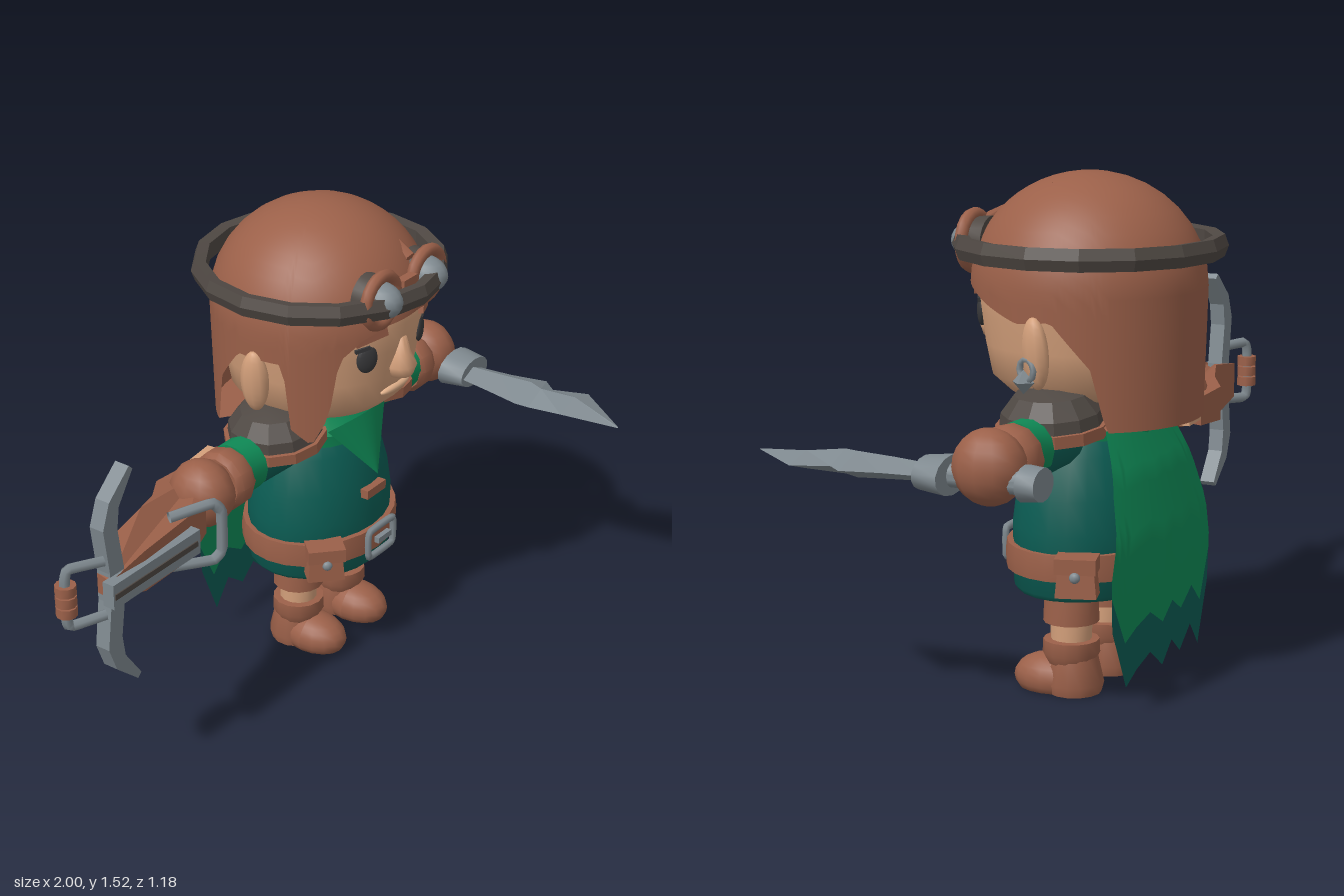
import * as THREE from 'three';
import { toCreasedNormals } from 'three/addons/utils/BufferGeometryUtils.js';
import { ParametricGeometry } from 'three/addons/geometries/ParametricGeometry.js';

const mat = (name, color) => new THREE.MeshStandardMaterial({ name, color, side: THREE.DoubleSide });
const leather = mat('brown leather', 0x9b6049), dark = mat('dark hide', 0x4f4843);
const green = mat('bright green', 0x0f8a56), teal = mat('dark teal', 0x0b5c53);
const skin = mat('skin', 0xd4a07b), lip = mat('lip', 0xe2b28c);
const steel = mat('steel', 0x7f898f), ink = mat('eye dark', 0x38383a);

// Small helpers
function add(parent, name, geo, material, pos = [0, 0, 0], rot = [0, 0, 0], scale = [1, 1, 1]) {
  const m = new THREE.Mesh(geo, material);
  m.name = name;
  m.position.set(...pos);
  m.rotation.set(...rot);
  m.scale.set(...scale);
  parent.add(m);
  return m;
}
const vec = (a) => new THREE.Vector3(...a);
const lathe = (pts, seg = 20, crease = 0.7) =>
  toCreasedNormals(new THREE.LatheGeometry(pts.map((p) => new THREE.Vector2(...p)), seg), crease);
const ball = (seg = 16) => new THREE.SphereGeometry(1, seg, 12);
const box = (x, y, z) => new THREE.BoxGeometry(x, y, z);
const cyl = (a, b, h, seg = 14) => toCreasedNormals(new THREE.CylinderGeometry(a, b, h, seg), 0.7);
const tube = (pts, r, closed = false) => new THREE.TubeGeometry(
  new THREE.CatmullRomCurve3(pts.map(vec), closed, 'catmullrom', 0.15), 32, r, 6, closed);
const outline = (pts) => new THREE.Shape(pts.map((p) => new THREE.Vector2(...p)));
function interp(table, t) {
  for (let i = 1; i < table.length; i++) {
    const [a, ya] = table[i - 1], [b, yb] = table[i];
    if (t <= b) return ya + (yb - ya) * Math.max(0, (t - a) / (b - a));
  }
  return table[table.length - 1][1];
}

// Hair shell: hairline height by angle, 0 = front, positive = model's left
const hairline = [[-180, 0.82], [-125, 0.82], [-117, 1], [-100, 1.12], [-73, 1.12], [-69, 0.9], [-58, 0.85],
  [-49, 0.95], [-44, 1.14], [-32, 1.2], [-18, 1.23], [8, 1.235], [45, 1.19], [80, 1.12], [98, 1.13],
  [117, 1], [125, 0.82], [180, 0.82]];
function hairPoint(u, v, out) {
  const deg = u * 360 - 180, a = deg * Math.PI / 180, low = interp(hairline, deg);
  const y = low + (1.525 - low) * Math.sin(v * Math.PI / 2);
  const r = y < 1.2 ? 0.333 + 0.012 * (y - 0.82) / 0.38
    : 0.345 * Math.sqrt(Math.max(0, 1 - ((y - 1.2) / 0.325) ** 2));
  out.set(Math.sin(a) * r, y, Math.cos(a) * r);
}

// Cape with a ragged hem
const hem = [[-1, 0.26], [-0.8, 0.08], [-0.55, 0.16], [-0.3, 0.1], [-0.1, 0.15], [0.1, 0.09], [0.35, 0.15],
  [0.6, 0.12], [0.8, 0.08], [1, 0.26]];
const capeHalf = [[0.08, 0.31], [0.25, 0.325], [0.4, 0.335], [0.65, 0.27], [0.82, 0.2]];
const capeZ = [[0.08, -0.255], [0.52, -0.26], [0.7, -0.22], [0.82, -0.17]];
const cape = (v0, v1) => new ParametricGeometry((s, t, out) => {
  const u = s * 2 - 1, v = v0 + (v1 - v0) * t, y = 0.82 + (interp(hem, u) - 0.82) * v;
  out.set(u * interp(capeHalf, y), y, interp(capeZ, y) + 0.02 * u * u);
}, 40, 10);

function buildHead(body) {
  const head = new THREE.Group();
  head.name = 'head';
  body.add(head);
  add(head, 'face', lathe([[0, 0.86], [0.15, 0.865], [0.23, 0.89], [0.285, 0.94], [0.303, 1.03], [0.315, 1.12],
    [0.325, 1.2], [0.315, 1.26], [0.28, 1.35], [0, 1.4]], 28, 1), skin);
  add(head, 'hair', new ParametricGeometry(hairPoint, 120, 14), leather);
  add(head, 'hairUnderside', new THREE.RingGeometry(0.16, 0.333, 24, 1, Math.PI * 1.194, Math.PI * 0.611),
    leather, [0, 0.825, 0], [Math.PI / 2, 0, 0]);
  add(head, 'hairParting', new THREE.ConeGeometry(0.02, 0.27, 5), leather, [0.1, 1.44, 0.17], [-1.1, 0, -0.2]);
  add(head, 'nose', lathe([[0, 1.01], [0.04, 1.025], [0.052, 1.06], [0.032, 1.1], [0.018, 1.15], [0, 1.16]], 12, 1),
    skin, [0, 0, 0.308]);
  add(head, 'mouth', ball(), lip, [0, 0.975, 0.288], [0, 0, 0], [0.075, 0.014, 0.017]);
  for (const s of [-1, 1]) {
    add(head, 'eye', ball(), ink, [s * 0.14, 1.12, 0.28], [0, s * 0.46, 0], [0.036, 0.047, 0.015]);
    add(head, 'eyelash', box(0.05, 0.012, 0.012), ink, [s * 0.16, 1.158, 0.277], [0, s * 0.5, s * -0.15]);
    add(head, 'eyebrow', box(0.11, 0.032, 0.018), leather, [s * 0.14, 1.2, 0.293], [0, s * 0.46, s * -0.2]);
    add(head, 'ear', ball(10), skin, [s * 0.335, 1.04, 0], [0, s * -0.3, s * -0.1], [0.032, 0.105, 0.045]);
    // goggle cups
    add(head, 'goggleRim', new THREE.TorusGeometry(0.077, 0.02, 8, 20), leather, [s * 0.12, 1.318, 0.315]);
    add(head, 'goggleCup', cyl(0.07, 0.075, 0.06, 20), dark, [s * 0.12, 1.318, 0.285], [Math.PI / 2, 0, 0]);
    add(head, 'goggleLens', ball(), steel, [s * 0.12, 1.318, 0.31], [0, 0, 0], [0.058, 0.058, 0.077]);
  }
  add(head, 'goggleBridge', box(0.07, 0.03, 0.03), leather, [0, 1.34, 0.325]);
  add(head, 'goggleStrap', lathe([[0.355, 1.285], [0.39, 1.28], [0.402, 1.312], [0.39, 1.345], [0.355, 1.34],
    [0.355, 1.285]], 16, 0.1), dark);
  add(head, 'earringHoop', new THREE.TorusGeometry(0.03, 0.01, 6, 10), steel, [0.35, 0.995, 0.02], [0, 1.2, 0]);
  add(head, 'earringStone', new THREE.OctahedronGeometry(0.035), steel, [0.35, 0.96, 0.03]);
}

function buildTorso(body) {
  const flat = [1, 1, 0.81];
  add(body, 'tunic', lathe([[0, 0.31], [0.25, 0.305], [0.262, 0.32], [0.265, 0.5], [0.25, 0.6], [0.215, 0.72],
    [0.17, 0.8], [0.1, 0.86]], 24), teal, [0, 0, 0], [0, 0, 0], flat);
  add(body, 'shorts', ball(), leather, [0, 0.32, 0], [0, 0, 0], [0.21, 0.05, 0.16]);
  add(body, 'belt', lathe([[0.255, 0.37], [0.282, 0.37], [0.285, 0.41], [0.28, 0.448], [0.255, 0.448]], 24, 0.4),
    leather, [0, 0, 0], [0, 0, 0], [1, 1, 0.83]);
  add(body, 'buckle', tube([[-0.065, 0.365, 0], [0.065, 0.365, 0], [0.065, 0.455, 0], [-0.065, 0.455, 0]], 0.012, true),
    steel, [0, 0, 0.245]);
  add(body, 'bucklePin', box(0.07, 0.02, 0.018), steel, [0.01, 0.41, 0.247]);
  add(body, 'chestTag', box(0.1, 0.03, 0.03), leather, [0, 0.58, 0.212]);
  for (const [x, z, turn] of [[-0.205, 0.17, -0.75], [0.275, -0.1, 1.9]]) {
    const pouch = new THREE.Group();
    pouch.name = 'beltPouch';
    pouch.position.set(x, 0.395, z);
    pouch.rotation.y = turn;
    body.add(pouch);
    add(pouch, 'pouchBag', toCreasedNormals(new THREE.CylinderGeometry(0.07, 0.085, 0.11, 4, 1, false, Math.PI / 4), 0.4),
      leather, [0, 0, 0], [0, 0, 0], [1, 1, 0.65]);
    add(pouch, 'pouchFlap', box(0.12, 0.045, 0.09), leather, [0, 0.04, 0.006]);
    add(pouch, 'pouchButton', ball(8), steel, [0, 0.01, 0.052], [0, 0, 0], [0.016, 0.016, 0.012]);
  }
  // cape and scarf
  add(body, 'cape', cape(0, 0.82), green);
  add(body, 'capeHem', cape(0.82, 1), teal);
  add(body, 'scarfCollar', lathe([[0.22, 0.77], [0.225, 0.81], [0.19, 0.86], [0.13, 0.865]], 18), green,
    [0, 0, 0], [0, 0, 0], [1, 1, 0.86]);
  add(body, 'scarfPoint', new ParametricGeometry((s, t, out) => {
    const u = s * 2 - 1;
    out.set(u * 0.155 * (1 - t), 0.86 - 0.22 * t - 0.03 * u * u * (1 - t), 0.195 + 0.035 * t - 0.05 * u * u * (1 - t));
  }, 8, 6), green);
}

function buildLimbs(body) {
  const along = [0, 0, Math.PI / 2];
  for (const s of [-1, 1]) {
    // arm, stretched sideways
    add(body, 'sleeve', cyl(0.07, 0.08, 0.27), teal, [s * 0.285, 0.765, 0], along);
    add(body, 'sleeveCuff', cyl(0.086, 0.086, 0.07), green, [s * 0.42, 0.78, 0], along);
    add(body, 'gloveCuff', lathe([[0, -0.045], [0.085, -0.045], [0.098, -0.02], [0.098, 0.025], [0.085, 0.045],
      [0, 0.045]], 12), leather, [s * 0.49, 0.77, 0], along);
    add(body, 'gloveFist', ball(12), leather, [s * 0.6, 0.77, 0], [0, 0, 0], [0.092, 0.108, 0.108]);
    // shoulder pad with trim
    const pad = new THREE.Group();
    pad.name = 'shoulderPad';
    pad.position.set(s * 0.235, 0.815, 0);
    pad.rotation.z = s * -0.1;
    body.add(pad);
    add(pad, 'padDome', lathe([[0.152, 0], [0.145, 0.05], [0.105, 0.1], [0.05, 0.115], [0, 0.118]], 12, 0.4), dark);
    add(pad, 'padTrim', lathe([[0.14, -0.02], [0.163, -0.02], [0.163, 0.015], [0.14, 0.015]], 12, 0.4), leather);
    // leg and boot
    const x = s * 0.117;
    add(body, 'shortsLeg', cyl(0.078, 0.083, 0.1), leather, [x, 0.265, 0]);
    add(body, 'knee', cyl(0.062, 0.06, 0.1), skin, [x, 0.18, 0]);
    add(body, 'bootCuff', lathe([[0.07, 0.09], [0.085, 0.12], [0.083, 0.16], [0.055, 0.162]], 14), leather, [x, 0, 0]);
    add(body, 'bootHeel', lathe([[0, 0], [0.08, 0], [0.088, 0.03], [0.07, 0.11], [0, 0.12]], 14), leather, [x, 0, -0.01]);
    const toe = ball(16), p = toe.attributes.position;
    for (let i = 0; i < p.count; i++) p.setY(i, Math.max(p.getY(i), -0.5));
    toe.computeVertexNormals();
    add(body, 'bootToe', toe, leather, [x, 0.036, 0.065], [0, 0, 0], [0.083, 0.072, 0.118]);
  }
}

function buildCrossbow(root) {
  const bow = new THREE.Group();
  bow.name = 'crossbow';
  root.add(bow);
  // stock: side profile, tapered in height along its length
  const stock = new THREE.ExtrudeGeometry(outline([[-0.22, -0.33], [-0.37, -0.33], [-0.46, -0.27], [-0.56, -0.23],
    [-0.77, -0.205], [-0.85, -0.15], [-0.86, -0.09], [-0.72, -0.08], [-0.5, -0.095], [-0.38, -0.13], [-0.25, -0.26]]),
  { depth: 1, bevelEnabled: false }).translate(0, 0, -0.5).rotateX(Math.PI / 2);
  const p = stock.attributes.position;
  for (let i = 0; i < p.count; i++)
    p.setY(i, p.getY(i) * interp([[-0.86, 0.06], [-0.74, 0.13], [-0.56, 0.17], [-0.4, 0.11], [-0.22, 0.09]], p.getX(i)));
  stock.computeVertexNormals();
  add(bow, 'stock', stock, leather, [0, 0.74, 0]);
  add(bow, 'stockButt', box(0.15, 0.08, 0.06), skin, [-0.175, 0.755, -0.305], [0, 0.12, 0]);
  add(bow, 'rail', box(0.39, 0.08, 0.04), steel, [-0.685, 0.735, -0.083]);
  add(bow, 'railGroove', box(0.37, 0.018, 0.006), dark, [-0.69, 0.735, -0.062]);
  const half = [[-0.87, 0.2], [-0.84, 0.28], [-0.75, 0.36], [-0.735, 0.345], [-0.8, 0.25], [-0.81, 0.18], [-0.79, 0.05]];
  const limb = [[-0.85, 0.05], ...half];
  add(bow, 'bowLimbs', new THREE.ExtrudeGeometry(outline([...limb, ...limb.map(([x, y]) => [x, -y]).reverse()]),
    { depth: 0.05, bevelEnabled: false }), steel, [0, 0.735, -0.15]);
  add(bow, 'stirrup', tube([[-0.86, 0.83, -0.115], [-0.96, 0.835, -0.16], [-0.97, 0.8, -0.165], [-0.97, 0.67, -0.165],
    [-0.96, 0.645, -0.16], [-0.86, 0.65, -0.115]], 0.017), steel);
  for (const y of [-0.035, 0, 0.035])
    add(bow, 'stirrupGrip', cyl(0.032, 0.032, 0.03, 10), leather, [-0.968, 0.737 + y, -0.165]);
  add(bow, 'lever', tube([[-0.55, 0.82, -0.13], [-0.43, 0.835, -0.065], [-0.405, 0.8, -0.05], [-0.405, 0.67, -0.05],
    [-0.43, 0.64, -0.065], [-0.55, 0.65, -0.13]], 0.018), steel);
}

function buildDagger(root) {
  const dagger = new THREE.Group();
  dagger.name = 'dagger';
  root.add(dagger);
  // blade: diamond cross-sections [z, inner x, outer x, half thickness]
  const cuts = [[-0.02, 0.84, 0.95, 0.025], [0.1, 0.82, 0.965, 0.032], [0.22, 0.797, 0.995, 0.038],
    [0.27, 0.8, 0.955, 0.036], [0.38, 0.82, 0.998, 0.026], [0.575, 0.85, 0.856, 0.002]];
  const pts = [], idx = [];
  cuts.forEach(([z, a, b, t], i) => {
    const m = (a + b) / 2;
    pts.push(a, 0, z, m, t, z, b, 0, z, m, -t, z);
    for (let k = 0; i && k < 4; k++) {
      const c = i * 4 + k, d = i * 4 + (k + 1) % 4;
      idx.push(c - 4, c, d - 4, c, d, d - 4);
    }
  });
  const geo = new THREE.BufferGeometry();
  geo.setAttribute('position', new THREE.Float32BufferAttribute(pts, 3));
  geo.setIndex(idx);
  const blade = geo.toNonIndexed();
  blade.computeVertexNormals();
  add(dagger, 'blade', blade, steel, [0, 0.737, 0]);
  const turn = [Math.PI / 2, 0, 0];
  add(dagger, 'guard', cyl(0.08, 0.095, 0.085), steel, [0.905, 0.74, -0.05], turn, [1, 1, 0.6]);
  add(dagger, 'grip', cyl(0.035, 0.035, 0.26), steel, [0.905, 0.74, -0.2], turn);
  add(dagger, 'pommel', cyl(0.066, 0.06, 0.055), steel, [0.905, 0.74, -0.345], turn, [1, 1, 0.78]);
}

export function createModel() {
  const root = new THREE.Group();
  root.name = 'adventurer';
  const body = new THREE.Group();
  body.name = 'body';
  body.position.set(0.29, 0, -0.2);
  root.add(body);
  buildHead(body);
  buildTorso(body);
  buildLimbs(body);
  buildCrossbow(root);
  buildDagger(root);
  return root;
}
